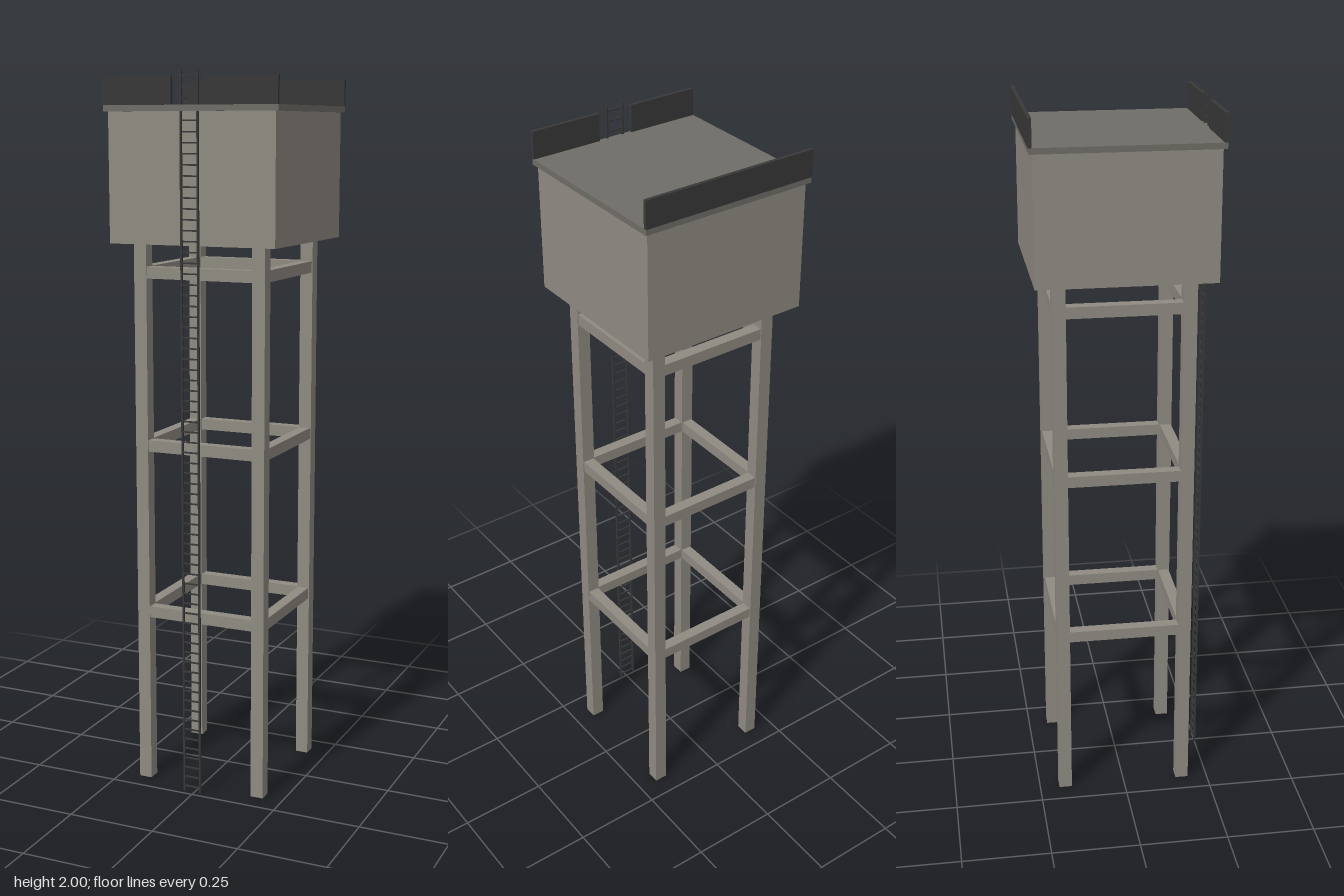
import * as THREE from 'three';

const mat = (color) => new THREE.MeshStandardMaterial({ color });

export function createModel() {
  const tower = new THREE.Group();
  tower.name = 'waterTower';
  const concrete = mat(0x8f8b82);
  const roofing = mat(0x6f6d67);
  const darkMetal = mat(0x383838);

  // Box given by its size and centre
  const box = (name, parent, material, [w, h, d], [x, y, z]) => {
    const mesh = new THREE.Mesh(new THREE.BoxGeometry(w, h, d), material);
    mesh.name = name;
    mesh.position.set(x, y, z);
    parent.add(mesh);
    return mesh;
  };

  const legPos = 0.175, legSize = 0.037, tankBase = 1.547;

  // Four legs
  for (const x of [-legPos, legPos])
    for (const z of [-legPos, legPos])
      box('leg', tower, concrete, [legSize, tankBase, legSize], [x, tankBase / 2, z]);

  // Three rings of cross beams between the legs
  const span = 2 * legPos - legSize, beam = 0.032;
  for (const y of [0.503, 0.985, 1.467]) {
    const ring = new THREE.Group();
    ring.name = 'beamRing';
    tower.add(ring);
    for (const s of [-1, 1]) {
      box('crossBeam', ring, concrete, [span, beam, beam], [0, y, s * legPos]);
      box('sideBeam', ring, concrete, [beam, beam, span], [s * legPos, y, 0]);
    }
  }

  // Tank and overhanging roof slab
  box('tank', tower, concrete, [0.482, 0.35, 0.482], [0, tankBase + 0.175, 0]);
  box('roofSlab', tower, roofing, [0.502, 0.016, 0.5], [0, 1.904, 0]);

  // Parapets: whole at the back, split around the ladder at the front
  const parapetY = 1.949, parapetH = 0.074;
  box('backParapet', tower, darkMetal, [0.502, parapetH, 0.01], [0, parapetY, -0.247]);
  for (const s of [-1, 1])
    box('frontParapet', tower, darkMetal, [0.201, parapetH, 0.01], [s * 0.1505, parapetY, 0.247]);

  // Ladder up the front
  const ladder = new THREE.Group();
  ladder.name = 'ladder';
  tower.add(ladder);
  const ladderZ = 0.2465, bottom = 0.008, top = 2;
  for (const s of [-1, 1])
    box('ladderRail', ladder, darkMetal, [0.005, top - bottom, 0.006], [s * 0.0242, (top + bottom) / 2, ladderZ]);
  const rungs = 70, step = (top - bottom) / rungs;
  for (let i = 0; i < rungs; i++)
    box('rung', ladder, darkMetal, [0.046, 0.004, 0.004], [0, bottom + step * (i + 0.5), ladderZ]);

  return tower;
}
